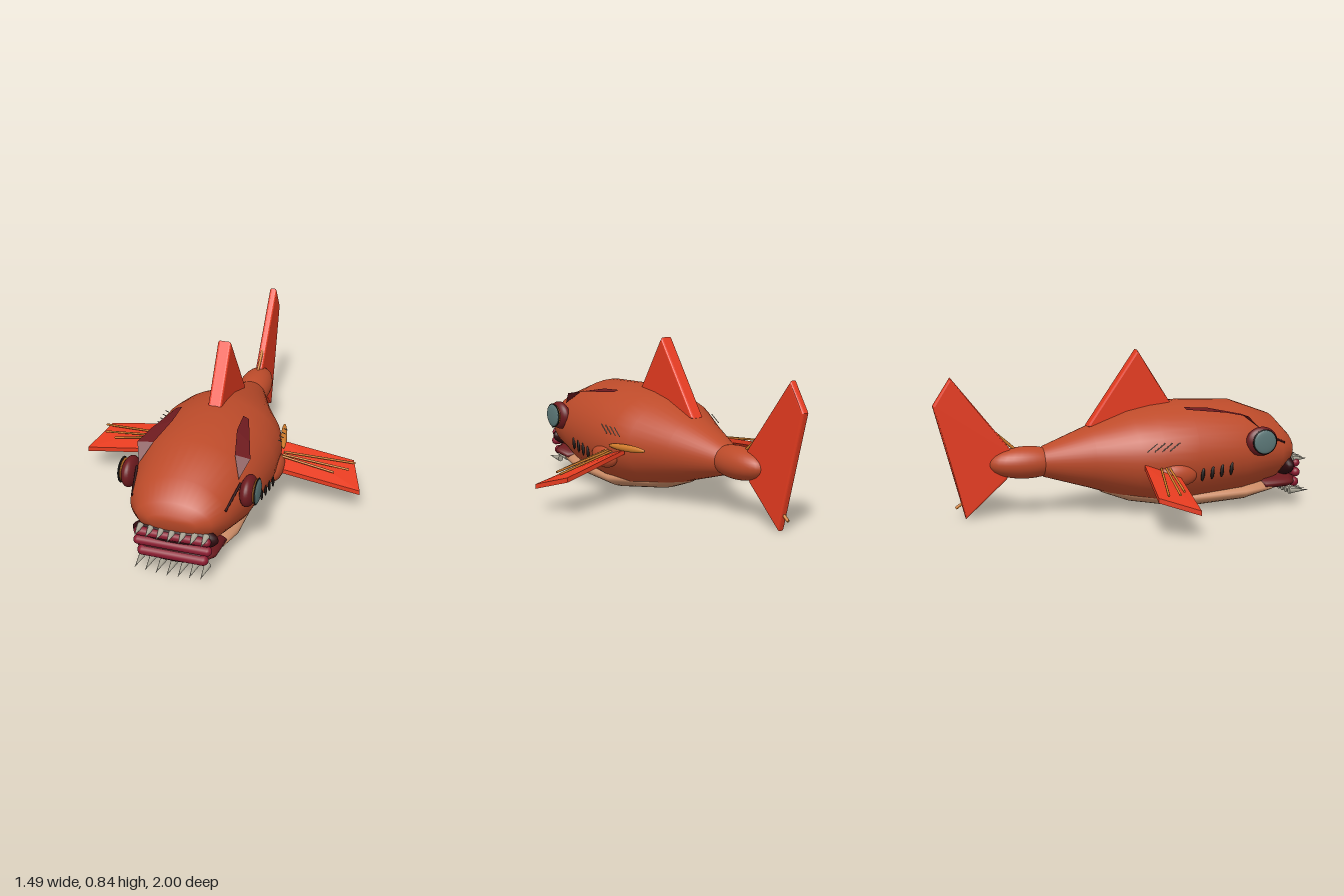
import * as THREE from 'three';
import { ConvexGeometry } from 'three/addons/geometries/ConvexGeometry.js';

const mat = (name, color, side = THREE.FrontSide) => {
  const m = new THREE.MeshStandardMaterial({ color, side });
  m.name = name;
  return m;
};
const V = (x, y, z) => new THREE.Vector3(x, y, z);

// Elliptical rings [z, top, bottom, halfWidth], listed from front to back
function loft(rings, n = 40) {
  const pos = [], idx = [];
  rings.forEach(([z, top, bottom, w], i) => {
    for (let j = 0; j < n; j++) {
      const t = (j / n) * Math.PI * 2;
      pos.push(w * Math.cos(t), (top + bottom) / 2 + ((top - bottom) / 2) * Math.sin(t), z);
      if (i < rings.length - 1) {
        const a = i * n + j, d = i * n + (j + 1) % n;
        idx.push(a, a + n, d, a + n, d + n, d);
      }
    }
  });
  const g = new THREE.BufferGeometry();
  g.setAttribute('position', new THREE.Float32BufferAttribute(pos, 3));
  g.setIndex(idx);
  g.computeVertexNormals();
  return g;
}

// Upright fin: outline in (z, y), thickness along x
function uprightFin(points, thickness) {
  const bevel = 0.012;
  const g = new THREE.ExtrudeGeometry(
    new THREE.Shape(points.map(([z, y]) => new THREE.Vector2(z, y))),
    { depth: thickness - 2 * bevel, bevelSize: bevel, bevelOffset: -bevel, bevelThickness: bevel, bevelSegments: 3 });
  return g.translate(0, 0, bevel - thickness / 2).rotateY(-Math.PI / 2);
}

// Straight rod or cone between two points
function rod(a, b, r0, r1 = r0, sides = 8) {
  const d = b.clone().sub(a);
  const g = new THREE.CylinderGeometry(r1, r0, d.length(), sides);
  g.applyQuaternion(new THREE.Quaternion().setFromUnitVectors(V(0, 1, 0), d.normalize()));
  const m = a.clone().add(b).multiplyScalar(0.5);
  return g.translate(m.x, m.y, m.z);
}

const ellipsoid = (x, y, z, rx, ry, rz, yaw = 0) =>
  new THREE.SphereGeometry(1, 28, 18).scale(rx, ry, rz).rotateY(yaw).translate(x, y, z);

export function createModel() {
  const skin = mat('rust skin', 0xbd4b2a);
  const finRed = mat('fin red', 0xe83c20);
  const tan = mat('belly tan', 0xcc8c66);
  const maroon = mat('maroon', 0x6c1a1e, THREE.DoubleSide);
  const crimson = mat('lip crimson', 0x8c1a30);
  const mouthDark = mat('mouth dark', 0x2e0a0e);
  const black = mat('black', 0x1a1412);
  const bone = mat('tooth grey', 0xaaa596);
  const glass = mat('eye glass', 0x5c7878);
  const gold = mat('ray gold', 0xce7a2a);

  const group = new THREE.Group();
  const add = (name, geometry, material) => {
    const m = new THREE.Mesh(geometry, material);
    m.name = name;
    group.add(m);
  };

  // Body, belly and tail root
  add('body', loft([
    [0.912, 0.32, 0.318, 0.001], [0.91, 0.35, 0.27, 0.12], [0.88, 0.4, 0.21, 0.185],
    [0.8, 0.485, 0.13, 0.245], [0.58, 0.565, 0.06, 0.31], [0.3, 0.575, 0.03, 0.336],
    [0.12, 0.555, 0.038, 0.325], [0, 0.53, 0.065, 0.29], [-0.2, 0.455, 0.13, 0.185],
    [-0.44, 0.36, 0.2, 0.085], [-0.5, 0.3, 0.26, 0.001]]), skin);
  add('belly', loft([
    [0.77, 0.111, 0.109, 0.001], [0.76, 0.14, 0.08, 0.2], [0.6, 0.155, 0.036, 0.235],
    [0.27, 0.15, 0.012, 0.235], [0, 0.16, 0.054, 0.16], [-0.13, 0.15, 0.1, 0.06],
    [-0.16, 0.13, 0.128, 0.001]]), tan);
  add('tailRoot', ellipsoid(0, 0.28, -0.53, 0.09, 0.083, 0.195), skin);

  // Upright fins
  add('dorsalFin', uprightFin([[0.25, 0.55], [0.06, 0.845], [-0.21, 0.455], [-0.1, 0.42], [0.2, 0.48]], 0.07), finRed);
  add('tailFin', uprightFin([[-0.6, 0.34], [-0.91, 0.73], [-1, 0.59], [-0.845, 0.005], [-0.63, 0.2]], 0.04), finRed);
  add('tailRay', rod(V(0, 0.345, -0.58), V(0, 0.485, -0.74), 0.008), gold);
  add('tailRay', rod(V(0, 0.26, -0.62), V(0, 0.062, -0.895), 0.008), gold);

  // Mouth: dark opening, jaw block and stacked lips
  add('mouthOpening', ellipsoid(0, 0.217, 0.862, 0.213, 0.07, 0.055), mouthDark);
  add('lowerJaw', loft([
    [0.911, 0.13, 0.128, 0.001], [0.91, 0.17, 0.092, 0.16], [0.86, 0.175, 0.085, 0.2],
    [0.72, 0.17, 0.08, 0.21], [0.719, 0.13, 0.128, 0.001]]), maroon);
  for (const [y, r, half] of [[0.23, 0.022, 0.168], [0.18, 0.024, 0.17], [0.124, 0.026, 0.15]]) {
    const lip = new THREE.CapsuleGeometry(r, 2 * half, 6, 14).rotateZ(Math.PI / 2);
    add('lip', lip.translate(0, y, 0.905), crimson);
  }

  // Two rows of forward pointing teeth
  for (let i = -3; i <= 3; i++) {
    const x = i * 0.054, back = Math.abs(i) * 0.004;
    add('upperTooth', rod(V(x, 0.25, 0.9 - back), V(x, 0.25, 0.985 - back), 0.017, 0, 10), bone);
    add('lowerTooth', rod(V(x, 0.07 + back / 2, 0.885 - back), V(x, 0.07 + back / 2, 1 - back), 0.017, 0, 10), bone);
  }

  for (const s of [1, -1]) {
    // Eye: socket, gold rim, black ring and lens
    add('eyeSocket', ellipsoid(s * 0.297, 0.38, 0.65, 0.04, 0.076, 0.086), maroon);
    add('eyeRim', ellipsoid(s * 0.331, 0.383, 0.65, 0.009, 0.06, 0.06), gold);
    add('eyeRing', ellipsoid(s * 0.339, 0.383, 0.65, 0.007, 0.066, 0.066), black);
    add('eyeLens', ellipsoid(s * 0.342, 0.383, 0.65, 0.01, 0.06, 0.06), glass);

    // Angry brow plate and the crease below it
    const brow = new THREE.BufferGeometry().setFromPoints([
      V(s * 0.205, 0.514, 0.57), V(s * 0.165, 0.547, 0.4), V(s * 0.16, 0.555, 0.27),
      V(s * 0.19, 0.545, 0.275), V(s * 0.25, 0.53, 0.47), V(s * 0.284, 0.51, 0.58),
      V(s * 0.25, 0.44, 0.66)]);
    brow.setIndex([0, 1, 4, 1, 2, 3, 1, 3, 4, 0, 4, 5, 0, 5, 6]);
    const flatBrow = brow.toNonIndexed();
    flatBrow.computeVertexNormals();
    add('brow', flatBrow, maroon);
    add('browCrease', rod(V(s * 0.26, 0.42, 0.66), V(s * 0.23, 0.355, 0.81), 0.006), mouthDark);

    // Gill slits
    for (let i = 0; i < 4; i++) {
      const gill = new THREE.SphereGeometry(1, 12, 10).scale(0.007, 0.034, 0.01).rotateX(0.12);
      add('gill', gill.translate(s * (0.315 + i * 0.005), 0.25 - i * 0.007, 0.478 - i * 0.054), black);
    }

    // Scratches on the flank
    for (let i = 0; i < 4; i++) {
      const z = 0.17 - i * 0.04;
      add('scratch', rod(V(s * 0.326, 0.36, z - 0.03), V(s * 0.322, 0.4, z + 0.025), 0.0025, 0.0025, 5), bone);
    }

    // Side fin: tilted slab with a fleshy root and three rays
    add('sideFinRoot', ellipsoid(s * 0.31, 0.23, 0.185, 0.042, 0.06, 0.105), skin);
    const corners = [];
    for (const dy of [-0.012, 0.012]) {
      corners.push(V(s * 0.3, 0.225 + dy, 0.195), V(s * 0.3, 0.278 + dy, 0.015),
        V(s * 0.675, 0.193 + dy, -0.035), V(s * 0.745, 0.135 + dy, 0.155));
    }
    add('sideFin', new ConvexGeometry(corners), finRed);
    for (const [x, y, z] of [[0.69, 0.217, 0.01], [0.67, 0.213, 0.075], [0.6, 0.212, 0.12]]) {
      add('sideFinRay', rod(V(s * 0.33, 0.272, 0.09 + z * 0.4), V(s * x, y, z), 0.006), gold);
    }
  }

  // Single spike lodged in the left flank
  add('spike', ellipsoid(0.303, 0.302, -0.01, 0.016, 0.018, 0.125, 0.22), gold);

  return group;
}
